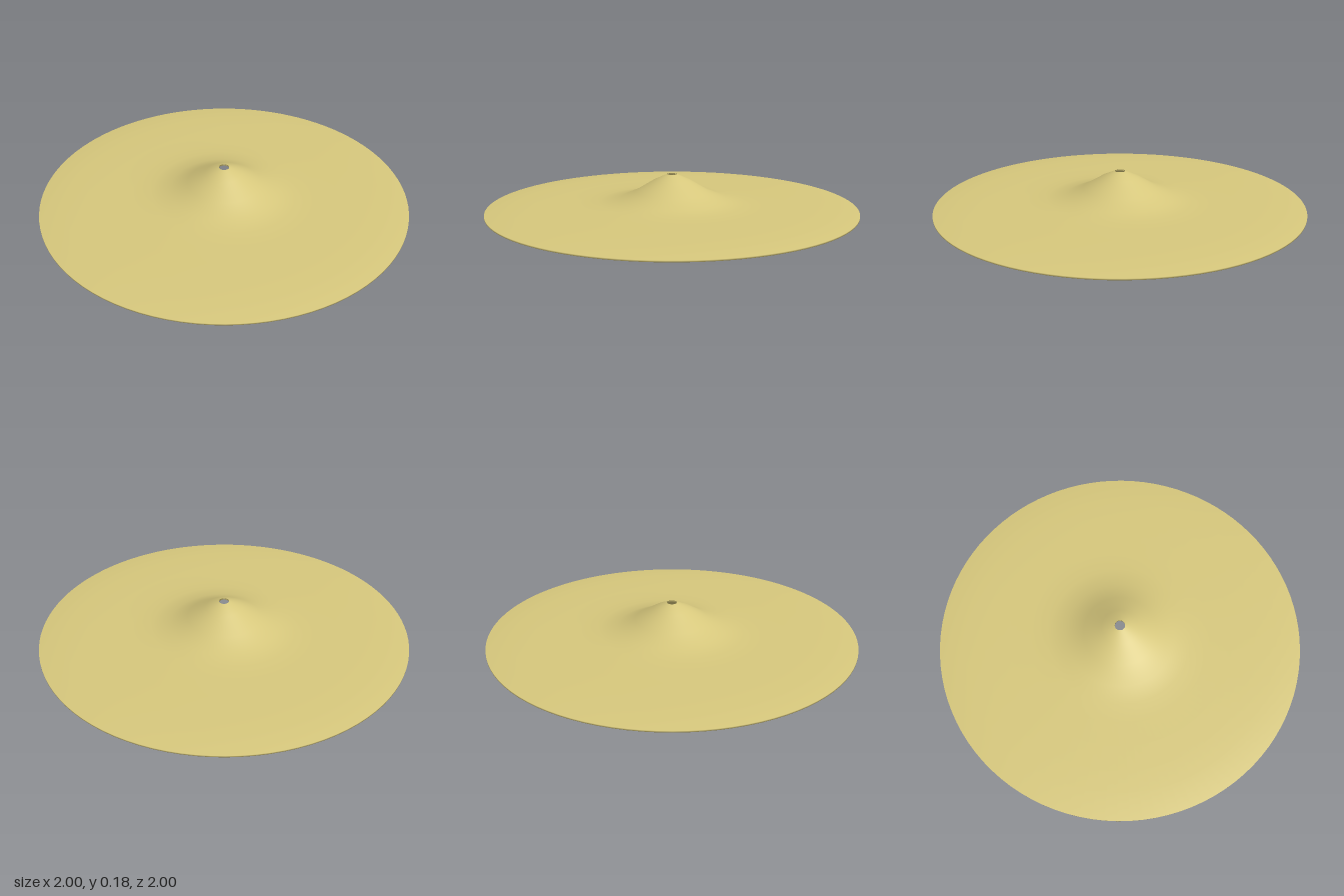
import * as THREE from 'three';

export function createModel() {
  const model = new THREE.Group();
  model.name = 'cymbal';

  // Top surface from hole to rim: [radius, height]
  const top = [
    [0.028, 0.18], [0.1, 0.147], [0.2, 0.086], [0.3, 0.044], [0.4, 0.03],
    [0.5, 0.026], [0.62, 0.024], [0.75, 0.021], [0.86, 0.017], [1, 0.008],
  ].map(([r, y]) => new THREE.Vector2(r, y));

  // Underside runs parallel, one thickness lower
  const thickness = 0.008;
  const under = top.map((p) => new THREE.Vector2(p.x, p.y - thickness));

  // Closed outline, starting on the flat underside so rim and hole edges shade smoothly
  const start = 5;
  const outline = [
    ...under.slice(start),
    ...top.slice().reverse(),
    ...under.slice(0, start + 1),
  ];

  // Thin bronze disc with a raised bell and a centre hole
  const disc = new THREE.Mesh(
    new THREE.LatheGeometry(outline, 96),
    new THREE.MeshStandardMaterial({ color: 0xd6c77c }),
  );
  disc.name = 'cymbalDisc';
  model.add(disc);
  return model;
}
